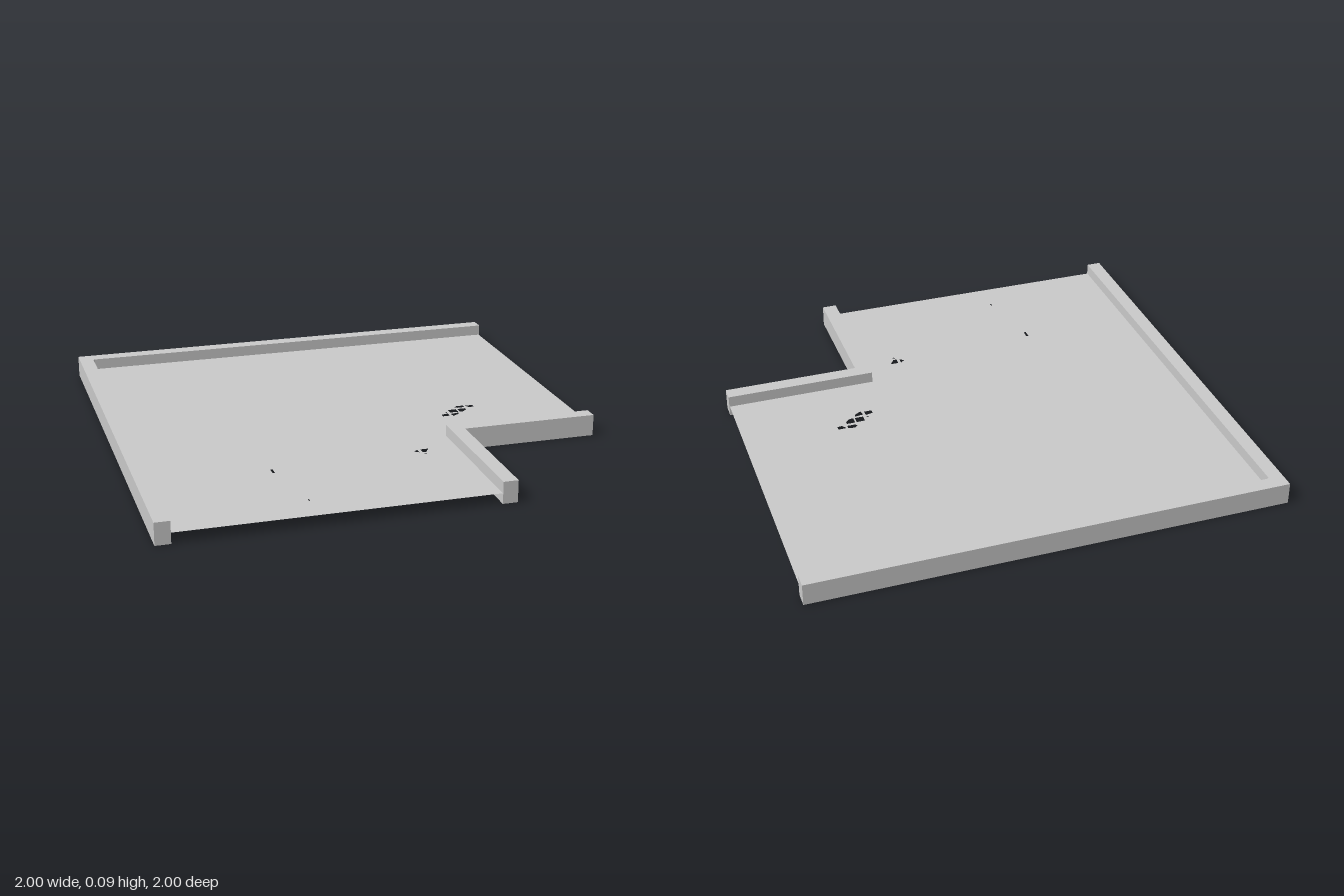
import * as THREE from 'three';

const HEIGHT = 0.092, FLOOR_Y = 0.044;
const material = new THREE.MeshStandardMaterial({ color: 0xcccccc, flatShading: true });
const sheet = new THREE.MeshStandardMaterial({ color: 0xcccccc, flatShading: true, side: THREE.DoubleSide });

// Plan outlines are given as [x, z] pairs
const points = (plan) => plan.map(([x, z]) => new THREE.Vector2(x, z));

function makeWall(name, plan) {
  const geometry = new THREE.ExtrudeGeometry(new THREE.Shape(points(plan)), { depth: HEIGHT, bevelEnabled: false });
  geometry.rotateX(Math.PI / 2).translate(0, HEIGHT, 0);
  const mesh = new THREE.Mesh(geometry, material);
  mesh.name = name;
  return mesh;
}

// Small broken-out gaps in the floor, in three patches
const gaps = [
  // large patch
  [[0.51, 0.037], [0.525, 0.022], [0.553, 0.026], [0.553, 0.045], [0.52, 0.045]],
  [[0.56, 0.03], [0.596, 0.029], [0.596, 0.048], [0.575, 0.052]],
  [[0.47, 0.062], [0.507, 0.06], [0.507, 0.094], [0.47, 0.094]],
  [[0.514, 0.06], [0.55, 0.06], [0.55, 0.075], [0.53, 0.094], [0.514, 0.094]],
  [[0.423, 0.11], [0.455, 0.102], [0.455, 0.13], [0.423, 0.13]],
  [[0.465, 0.11], [0.504, 0.104], [0.5, 0.118], [0.47, 0.137]],
  [[0.445, 0.088], [0.455, 0.085], [0.455, 0.094]],
  // small patch
  [[0.2, 0.473], [0.235, 0.473], [0.215, 0.505], [0.2, 0.505]],
  [[0.168, 0.488], [0.187, 0.473], [0.187, 0.503]],
  [[0.202, 0.516], [0.214, 0.516], [0.208, 0.526]],
  // slits
  [[-0.445, 0.513], [-0.435, 0.513], [-0.435, 0.55], [-0.445, 0.55]],
  [[-0.38, 0.843], [-0.375, 0.843], [-0.375, 0.858], [-0.38, 0.858]],
];

export function createModel() {
  const group = new THREE.Group();
  group.name = 'cornerFloorSection';

  // Outer L-shaped wall, with a tiny chamfer in its inside corner
  group.add(makeWall('outerWall', [
    [-1, -1], [1, -1], [1, -0.938], [-0.932, -0.938], [-0.938, -0.932], [-0.938, 1], [-1, 1],
  ]));

  // Inner L-shaped wall around the notch
  group.add(makeWall('innerWall', [
    [0.355, 0.355], [1, 0.355], [1, 0.417], [0.417, 0.417], [0.417, 1], [0.355, 1],
  ]));

  // Thin floor halfway up the walls
  const plan = new THREE.Shape(points([
    [-0.938, -0.938], [0.998, -0.938], [0.998, 0.355], [0.355, 0.355], [0.355, 0.998], [-0.938, 0.998],
  ]));
  plan.holes = gaps.map((gap) => new THREE.Path(points(gap)));
  const floor = new THREE.Mesh(new THREE.ShapeGeometry(plan).rotateX(Math.PI / 2), sheet);
  floor.position.y = FLOOR_Y;
  floor.name = 'floor';
  group.add(floor);

  return group;
}
